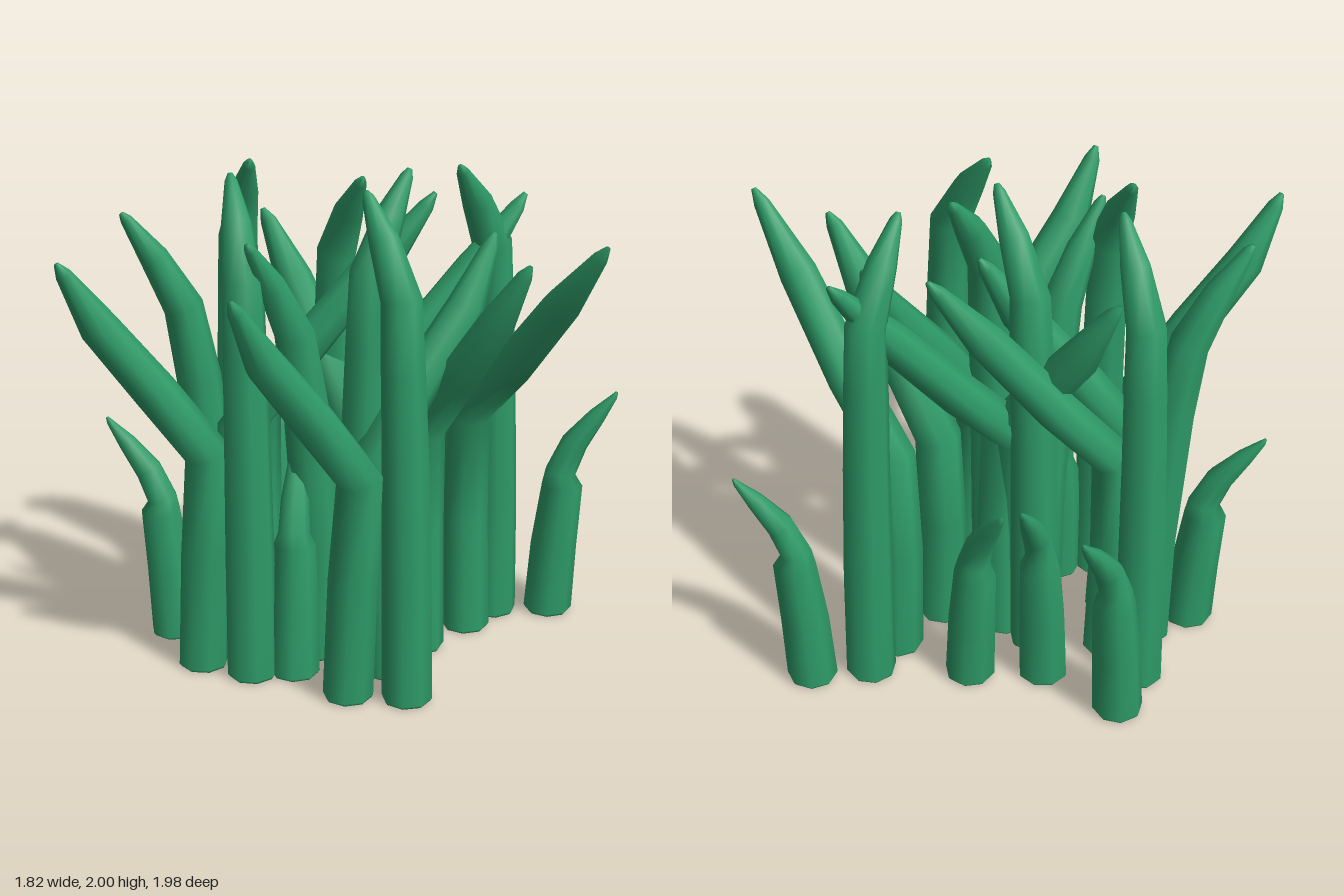
import * as THREE from 'three';

const SIDES = 8;

// Stem profiles: [lean (fraction of base-to-tip distance), height, radius, sideways sway]
const FOOT = [[0, 0, 0.092], [0, 0.012, 0.1]];
const PROFILES = {
  hooked: [[0.02, 0.5, 0.098], [0.07, 1, 0.091], [0.13, 1.35, 0.086], [0.18, 1.63, 0.08], [0.58, 1.83, 0.06], [0.94, 1.97, 0.025], [1, 1.995, 0.01]],
  leaning: [[-0.03, 0.5, 0.098, -0.012], [-0.05, 0.93, 0.091, -0.042], [0.32, 1.2, 0.086, -0.015], [0.71, 1.47, 0.076, 0.015], [0.95, 1.69, 0.032, 0.005], [1, 1.735, 0.01]],
  sprawling: [[-0.02, 0.5, 0.097], [0, 0.95, 0.09], [0.31, 1.2, 0.086, -0.005], [0.7, 1.54, 0.076, 0.012], [0.95, 1.775, 0.032, 0.005], [1, 1.825, 0.01]],
  upright: [[0.04, 0.5, 0.098], [0.2, 1.1, 0.09], [0.35, 1.4, 0.08], [0.66, 1.61, 0.058], [0.95, 1.77, 0.024], [1, 1.795, 0.01]],
  short: [[0.07, 0.3, 0.095], [0.18, 0.57, 0.084], [0.15, 0.63, 0.063], [0.36, 0.76, 0.056], [0.7, 0.88, 0.037], [0.96, 0.965, 0.014], [1, 0.985, 0.006]],
};

// Each stem: profile, base x, base z, tip x, tip z, height factor
const STEMS = [
  ['hooked', -0.73, -0.02, -0.48, 0.13],
  ['hooked', -0.17, 0.46, -0.4, 0.31],
  ['hooked', -0.27, -0.1, 0.01, 0.01],
  ['hooked', 0.06, 0.07, 0.05, -0.21],
  ['hooked', 0.42, 0.19, 0.14, 0.13],
  ['hooked', 0.135, -0.65, 0.165, -0.37],
  ['leaning', -0.38, 0.53, -0.64, 0.98],
  ['leaning', 0.235, 0.33, 0.15, 0.84],
  ['leaning', 0.14, -0.19, 0.66, -0.21],
  ['leaning', 0.2, 0.07, 0.28, -0.45],
  ['leaning', -0.1, -0.09, -0.61, -0.06],
  ['leaning', -0.38, 0.27, -0.01, -0.12],
  ['sprawling', 0.15, -0.46, 0.9, -0.36],
  ['sprawling', -0.13, -0.05, 0.21, -0.715],
  ['sprawling', -0.53, 0.05, -0.05, -0.47],
  ['upright', -0.6, 0.22, -0.81, 0.51],
  ['upright', -0.11, 0.13, -0.16, 0.46],
  ['short', -0.68, 0.41, -0.91, 0.54, 0.94],
  ['short', 0.3, -0.82, 0.5, -0.98],
  ['short', -0.78, -0.23, -0.78, -0.49],
  ['short', -0.42, -0.24, -0.49, -0.48],
  ['short', -0.19, -0.42, -0.41, -0.5, 0.95],
  ['short', -0.06, 0.33, -0.19, 0.17, 0.95],
];

// Sweeps rings of varying radius along a bent spine, closed at both ends
function stemGeometry(profile, reach, heightFactor) {
  const positions = [], index = [], n = profile.length;
  profile.forEach(([lean, height, r, sway = 0], i) => {
    const a = profile[Math.max(i - 1, 0)], b = profile[Math.min(i + 1, n - 1)];
    // the foot rings stay level
    const tilt = i < FOOT.length ? 0 : Math.atan2((b[0] - a[0]) * reach, b[1] - a[1]);
    for (let k = 0; k < SIDES; k++) {
      const t = (k / SIDES) * Math.PI * 2;
      const u = Math.cos(t) * r, v = Math.sin(t) * r;
      positions.push(lean * reach + u * Math.cos(tilt), height * heightFactor - u * Math.sin(tilt), v + sway);
    }
  });
  for (let i = 0; i < n - 1; i++) {
    for (let k = 0; k < SIDES; k++) {
      const a = i * SIDES + k, b = i * SIDES + (k + 1) % SIDES;
      index.push(a, a + SIDES, b, b, a + SIDES, b + SIDES);
    }
  }
  // underside and tip
  const last = (n - 1) * SIDES;
  for (let k = 1; k < SIDES - 1; k++) {
    index.push(0, k, k + 1);
    index.push(last, last + k + 1, last + k);
  }
  const geometry = new THREE.BufferGeometry();
  geometry.setAttribute('position', new THREE.Float32BufferAttribute(positions, 3));
  geometry.setIndex(index);
  geometry.computeVertexNormals();
  return geometry;
}

export function createModel() {
  const model = new THREE.Group();
  model.name = 'grassClump';
  const green = new THREE.MeshStandardMaterial({ color: 0x2e9b68 });

  STEMS.forEach(([type, bx, bz, tx, tz, heightFactor = 1], i) => {
    const dx = tx - bx, dz = tz - bz;
    const profile = [...FOOT, ...PROFILES[type]];
    const stem = new THREE.Mesh(stemGeometry(profile, Math.hypot(dx, dz), heightFactor), green);
    stem.name = `${type}Stem${i + 1}`;
    stem.position.set(bx, 0, bz);
    stem.rotation.y = Math.atan2(-dz, dx);
    model.add(stem);
  });
  return model;
}
